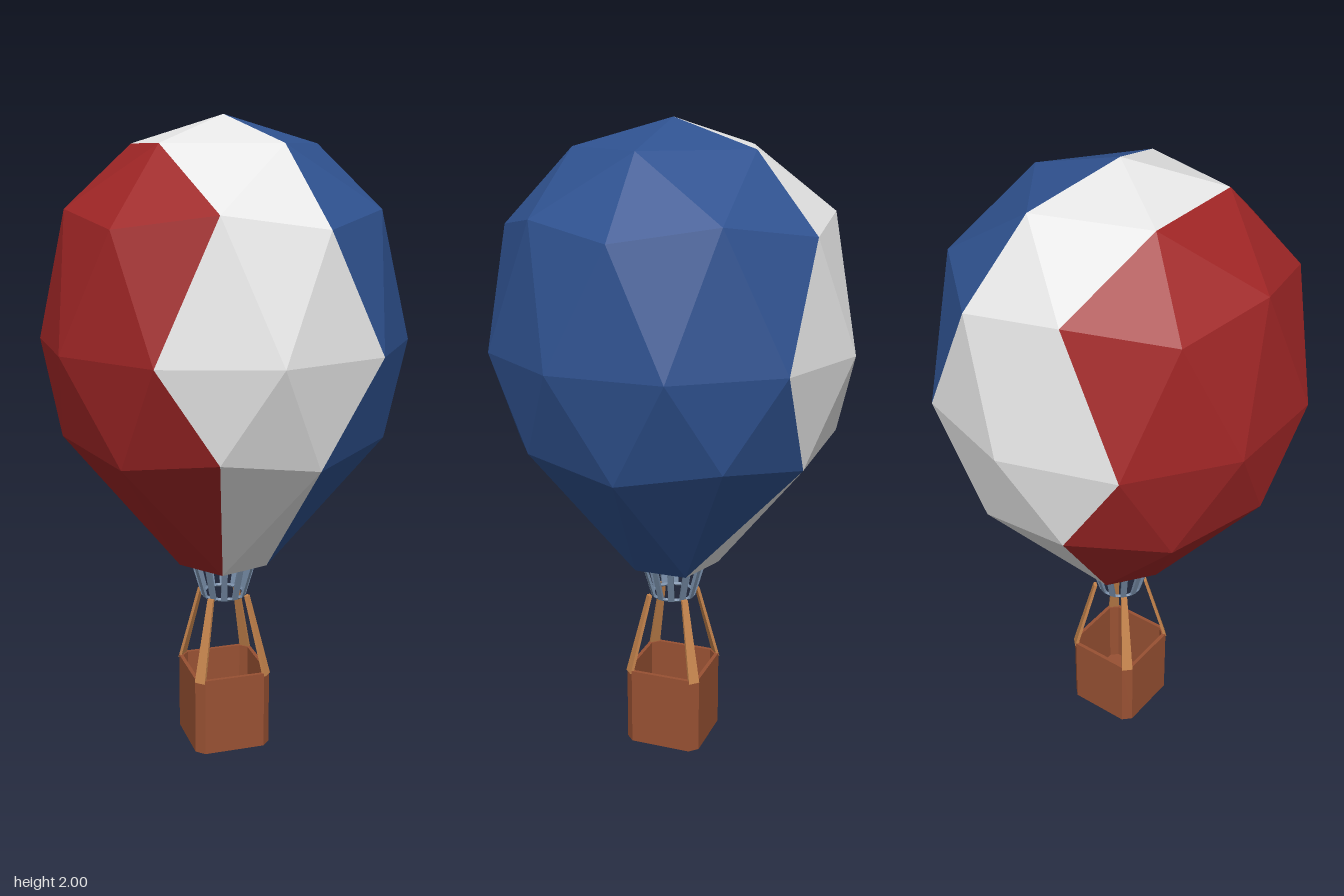
import * as THREE from 'three';

const mat = (name, color) => {
  const m = new THREE.MeshStandardMaterial({ color, flatShading: true });
  m.name = name;
  return m;
};

// Upright plate at distance r0 (bottom) to r1 (top) from the axis, tapering from w0 to w1
function leaningPlate(w0, w1, thick, r0, y0, r1, y1) {
  const g = new THREE.BoxGeometry(1, 1, thick);
  const p = g.attributes.position;
  for (let i = 0; i < p.count; i++) {
    const t = p.getY(i) + 0.5;
    p.setXYZ(i, p.getX(i) * (w0 + (w1 - w0) * t), y0 + (y1 - y0) * t, p.getZ(i) + r0 + (r1 - r0) * t);
  }
  g.computeVertexNormals();
  return g;
}

// Square with cut corners
function cutSquare(h, c, Type) {
  const pts = [[h, c - h], [h, h - c], [h - c, h], [c - h, h], [-h, h - c], [-h, c - h], [c - h, -h], [h - c, -h]];
  return new Type(pts.map(([x, y]) => new THREE.Vector2(x, y)));
}

function extrudeUp(shape, depth, y) {
  const g = new THREE.ExtrudeGeometry(shape, { depth, bevelEnabled: false });
  g.rotateX(-Math.PI / 2);
  g.translate(0, y, 0);
  return g;
}

export function createModel() {
  const model = new THREE.Group();
  model.name = 'hotAirBalloon';
  const red = mat('red', 0xa02626), white = mat('white', 0xe6e6e6), blue = mat('blue', 0x2f5290);
  const steel = mat('steelBlue', 0x7388a2), wood = mat('tan', 0xc4834c), wicker = mat('brown', 0x985133);

  const add = (name, geometry, material, parent = model) => {
    const mesh = new THREE.Mesh(geometry, material);
    mesh.name = name;
    parent.add(mesh);
    return mesh;
  };

  // Envelope: faceted ball whose lower half is stretched to a narrow neck.
  // Each half lists [radius, height] for pole, inner ring, corners, midpoints, equator.
  const halves = [
    { turn: 0, P: [0, 2], A: [0.298, 1.916], V: [0.507, 1.69], M: [0.482, 1.732], E: [0.567, 1.333] },
    { turn: 180, P: [0, 0.57], A: [0.145, 0.61], V: [0.507, 1.06], M: [0.482, 1.015], E: [0.567, 1.333] },
  ];
  const sector = ['P0 A0 A72', 'A0 A72 M36', 'A0 V0 M36', 'A72 M36 V72',
    'V0 E-18 E18', 'V0 E18 M36', 'M36 E18 E54', 'M36 E54 V72'];
  const panels = { red: [], white: [], blue: [] };
  const middle = new THREE.Vector3(0, 1.333, 0);
  for (const half of halves) {
    for (let k = 0; k < 5; k++) {
      for (const face of sector) {
        const tri = face.split(' ').map((s) => {
          const [r, y] = half[s[0]];
          const a = THREE.MathUtils.degToRad(Number(s.slice(1)) + 72 * k + half.turn);
          return new THREE.Vector3(r * Math.cos(a), y, r * Math.sin(a));
        });
        const c = tri[0].clone().add(tri[1]).add(tri[2]).divideScalar(3);
        const n = new THREE.Triangle(...tri).getNormal(new THREE.Vector3());
        if (n.dot(c.clone().sub(middle)) < 0) tri.reverse();
        // Red on one side, white band in the middle, blue on the other side
        let colour = 'white';
        if (c.x < -0.175 || c.y < 0.62) colour = 'red';
        else if (c.x > 0.175 || (c.x > 0.1 && c.y > 1.85)) colour = 'blue';
        panels[colour].push(...tri);
      }
    }
  }
  const envelope = new THREE.Group();
  envelope.name = 'envelope';
  model.add(envelope);
  for (const [key, material] of [['red', red], ['white', white], ['blue', blue]]) {
    const g = new THREE.BufferGeometry().setFromPoints(panels[key]);
    g.computeVertexNormals();
    add(key + 'Panels', g, material, envelope);
  }

  // Slatted collar under the neck
  const collar = new THREE.Group();
  collar.name = 'collar';
  model.add(collar);
  const slat = leaningPlate(0.02, 0.02, 0.008, 0.068, 0.497, 0.107, 0.63);
  for (let i = 0; i < 12; i++) {
    add('slat', slat, steel, collar).rotation.y = ((i + 0.5) / 12) * Math.PI * 2;
  }
  const ring = new THREE.TorusGeometry(0.069, 0.006, 4, 12);
  ring.rotateX(Math.PI / 2);
  ring.translate(0, 0.501, 0);
  add('collarRing', ring, steel, collar);

  // Four straps from the basket corners to the collar
  const strap = leaningPlate(0.036, 0.02, 0.01, 0.157, 0.245, 0.085, 0.505);
  for (let i = 0; i < 4; i++) {
    add('strap', strap, wood).rotation.y = Math.PI / 4 + (i * Math.PI) / 2;
  }

  // Open basket with cut corners
  const basket = new THREE.Group();
  basket.name = 'basket';
  model.add(basket);
  const wall = cutSquare(0.125, 0.026, THREE.Shape);
  wall.holes.push(cutSquare(0.113, 0.022, THREE.Path));
  add('basketWalls', extrudeUp(wall, 0.255, 0), wicker, basket);
  add('basketFloor', extrudeUp(cutSquare(0.114, 0.022, THREE.Shape), 0.02, 0), wicker, basket);

  return model;
}
